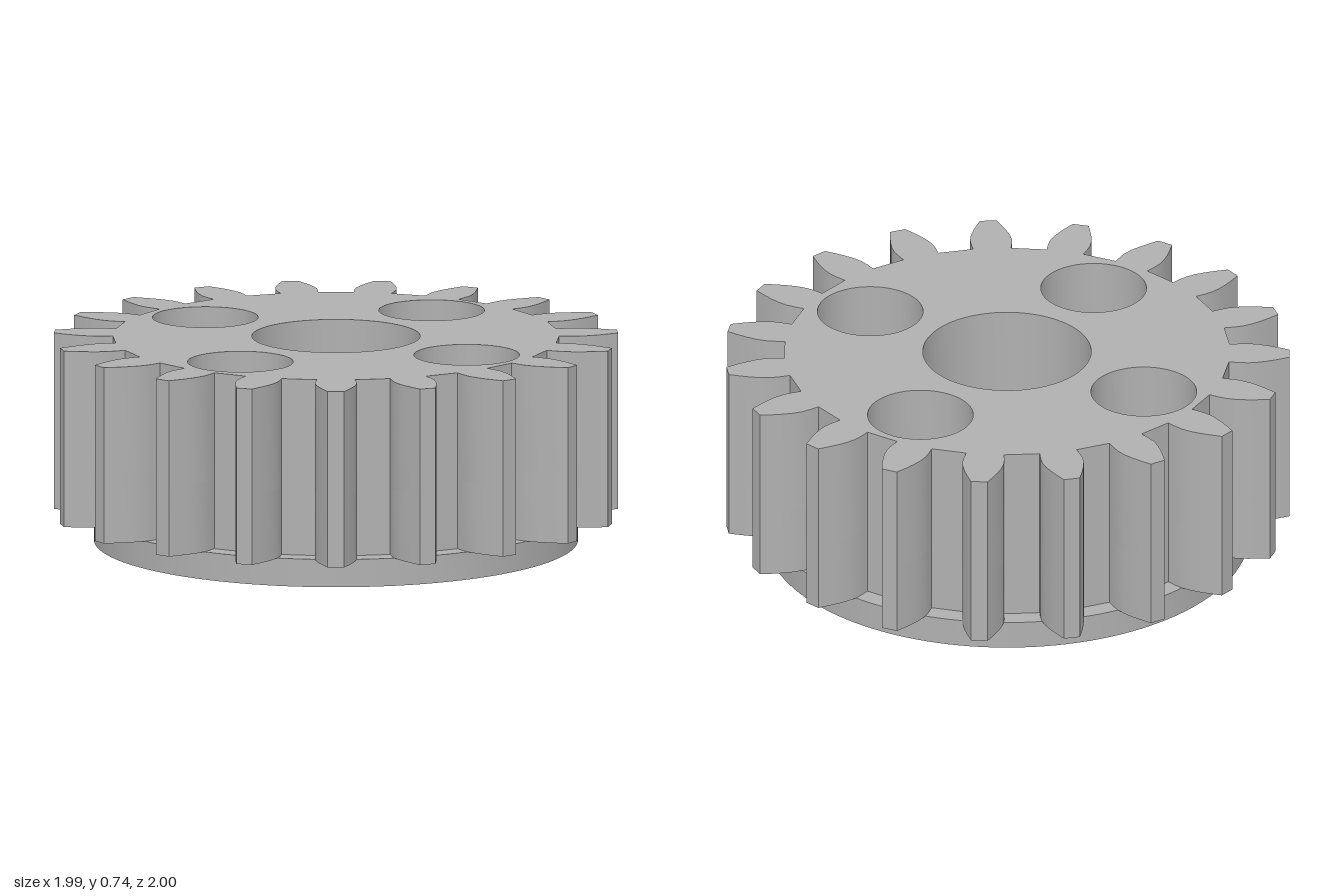
import * as THREE from 'three';
import { toCreasedNormals } from 'three/addons/utils/BufferGeometryUtils.js';

const TEETH = 19;
const BORE = 0.298;
const BOLT_CIRCLE = 0.573;
const BOLT_START = THREE.MathUtils.degToRad(49.1);

// Half of a tooth: [radius, half width] from root to tip
const FLANK = [
  [0.787, 0.067], [0.82, 0.072], [0.855, 0.074], [0.89, 0.069],
  [0.925, 0.059], [0.96, 0.046], [1.0, 0.029],
];

function circle(x, y, r) {
  return new THREE.Path().absarc(x, y, r, 0, Math.PI * 2, true);
}

// Toothed outline with the centre bore and four bolt holes
function gearShape(boltRadius) {
  const points = [];
  const profile = [
    ...FLANK.map(([r, w]) => [r, -w]),
    ...FLANK.map(([r, w]) => [r, w]).reverse(),
  ];
  for (let i = 0; i < TEETH; i++) {
    const a = (i / TEETH) * Math.PI * 2;
    for (const [r, w] of profile) {
      points.push(new THREE.Vector2(r, w).rotateAround(new THREE.Vector2(), a));
    }
  }
  const shape = new THREE.Shape(points);
  shape.holes.push(circle(0, 0, BORE));
  for (let i = 0; i < 4; i++) {
    const a = BOLT_START + (i * Math.PI) / 2;
    shape.holes.push(circle(BOLT_CIRCLE * Math.cos(a), BOLT_CIRCLE * Math.sin(a), boltRadius));
  }
  return shape;
}

// Upright slab between two heights
function slab(name, shape, y0, y1, material) {
  const geo = new THREE.ExtrudeGeometry(shape, {
    depth: y1 - y0, bevelEnabled: false, curveSegments: 64,
  });
  geo.rotateX(-Math.PI / 2);
  geo.translate(-0.005, y0, 0);
  const mesh = new THREE.Mesh(toCreasedNormals(geo, 0.5), material);
  mesh.name = name;
  return mesh;
}

export function createModel() {
  const steel = new THREE.MeshStandardMaterial({ color: 0xb0b0b0 });
  steel.name = 'steel grey';

  const group = new THREE.Group();
  group.name = 'spurGear';

  // Rim below the teeth, open in the middle
  const rim = new THREE.Shape().absarc(0, 0, 0.857, 0, Math.PI * 2, false);
  rim.holes.push(circle(0, 0, 0.765));
  group.add(slab('bottomRim', rim, 0, 0.1, steel));

  // Narrow bolt holes below, wide counterbores above
  group.add(slab('lowerGear', gearShape(0.107), 0.1, 0.35, steel));
  group.add(slab('upperGear', gearShape(0.187), 0.35, 0.735, steel));

  return group;
}
